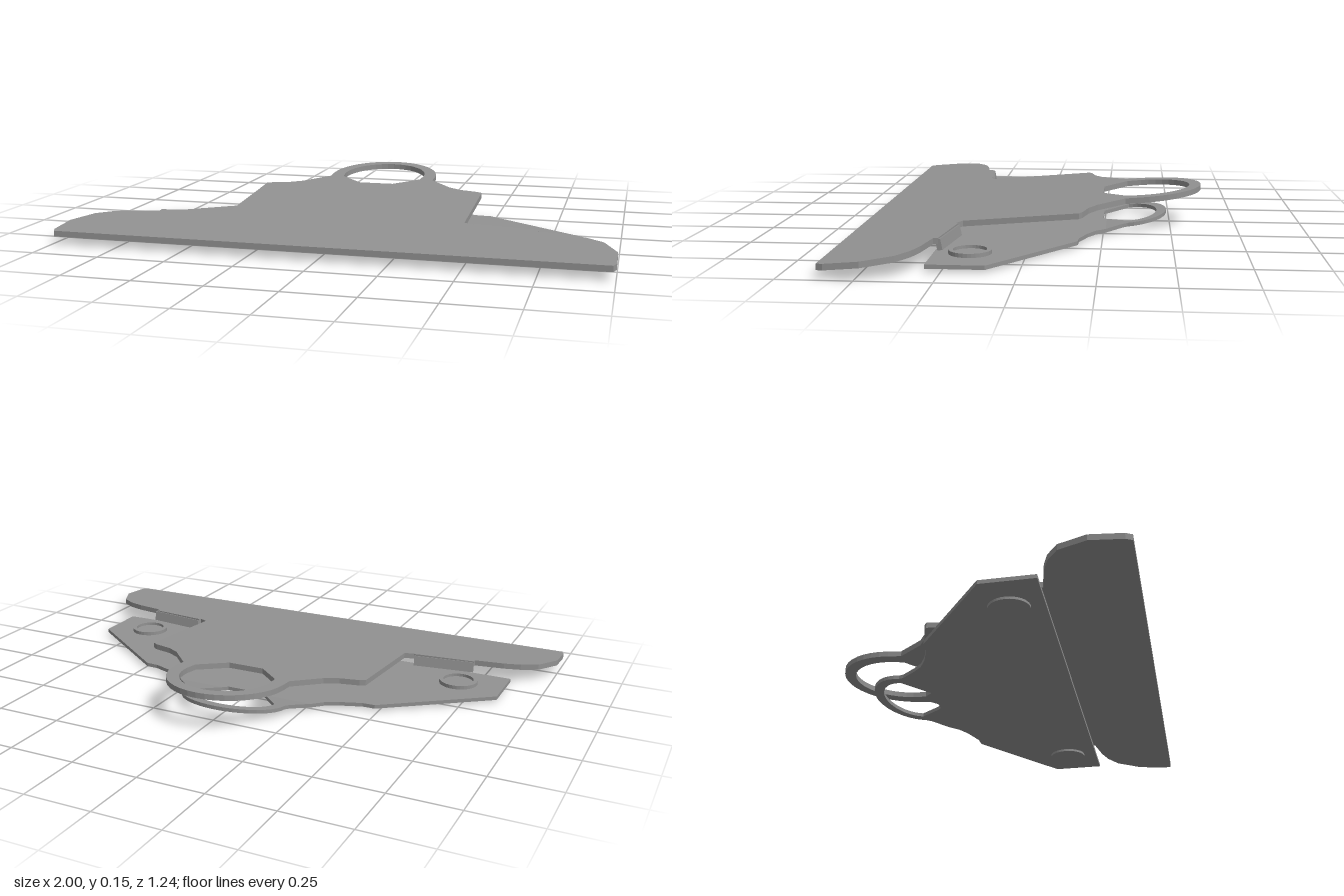
import * as THREE from 'three';

const material = new THREE.MeshStandardMaterial({ color: 0x929292 });

// Half outlines are [x, z] points on the +x side; mirror closes them.
const mirror = (half) => [
  ...half,
  ...half.slice().reverse().filter(([x]) => x > 0).map(([x, z]) => [-x, z]),
];
const toPoints = (pts) => pts.map(([x, z]) => new THREE.Vector2(x, -z));

// Elliptical arc of [x, z] points going from the +x side to the back centre.
function arc(rx, rz, cz, steps = 10) {
  const pts = [];
  for (let i = 0; i <= steps; i++) {
    const a = (i / steps) * Math.PI / 2;
    pts.push([i === steps ? 0 : rx * Math.cos(a), cz - rz * Math.sin(a)]);
  }
  return pts;
}

// Sheet metal: outline in x/z, thickness in y, raised by height(z).
function sheet(name, outline, hole, thickness, height) {
  const shape = new THREE.Shape(toPoints(outline));
  if (hole) shape.holes.push(new THREE.Path(toPoints(hole)));
  const geo = new THREE.ExtrudeGeometry(shape, { depth: thickness, bevelEnabled: false });
  geo.rotateX(-Math.PI / 2);
  const p = geo.attributes.position;
  for (let i = 0; i < p.count; i++) p.setY(i, p.getY(i) + height(p.getZ(i)));
  geo.computeVertexNormals();
  const mesh = new THREE.Mesh(geo, material);
  mesh.name = name;
  return mesh;
}

export function createModel() {
  const group = new THREE.Group();
  group.name = 'clip';

  // Upper jaw: wide gripping edge, narrower body and hanging ring
  const upper = mirror([
    [0, 0.618], [0.99, 0.618], [1, 0.595], [1, 0.48], [0.95, 0.38], [0.89, 0.34],
    [0.83, 0.32], [0.72, 0.3], [0.72, 0.283], [0.49, 0.253], [0.485, 0.262],
    [0.45, 0.242], [0.45, -0.17], [0.43, -0.182], [0.36, -0.2], [0.31, -0.23],
    [0.22, -0.33], ...arc(0.22, 0.235, -0.383),
  ]);
  const upperHole = mirror([
    [0, -0.245], [0.07, -0.245], [0.165, -0.335], ...arc(0.17, 0.185, -0.39),
  ]);
  group.add(sheet('upperJaw', upper, upperHole, 0.021, (z) => 0.08 - 0.081 * z));

  // Lower plate, flat up to the bend
  const lower = mirror([
    [0, 0.303], [0.863, 0.303], [0.863, 0.108], [0.487, -0.168], [0.44, -0.17],
    [0.36, -0.198], [0.31, -0.225], [0.275, -0.26], [0.09, -0.26], [0.075, -0.246], [0, -0.246],
  ]);
  group.add(sheet('lowerPlate', lower, null, 0.014, () => 0.009));

  // Lower ring, bent upwards from the plate
  const lowerRing = mirror([
    ...arc(0.166, 0.107, -0.343).reverse(), [0.09, -0.26],
    [0.275, -0.26], [0.215, -0.32], ...arc(0.205, 0.147, -0.34),
  ]);
  group.add(sheet('lowerRing', lowerRing, null, 0.014, (z) => 0.009 - 0.12 * (z + 0.26)));

  // Rivets with a raised rim, and the flanges folded down from the upper jaw
  const rivetProfile = [
    [0, 0], [0.073, 0], [0.073, 0.037], [0.057, 0.037], [0.057, 0.026], [0, 0.026],
  ].map(([x, y]) => new THREE.Vector2(x, y));
  for (const side of [1, -1]) {
    const label = side > 0 ? 'left' : 'right';
    const geo = new THREE.LatheGeometry(rivetProfile, 32).toNonIndexed();
    geo.computeVertexNormals();
    const rivet = new THREE.Mesh(geo, material);
    rivet.name = label + 'Rivet';
    rivet.position.set(side * 0.693, 0, 0.18);
    group.add(rivet);

    const flange = new THREE.Mesh(new THREE.BoxGeometry(0.232, 0.038, 0.018), material);
    flange.name = label + 'Flange';
    flange.position.set(side * 0.605, 0.055, 0.266);
    flange.rotation.set(0.2, -side * 0.125, 0, 'YXZ');
    group.add(flange);
  }
  return group;
}
